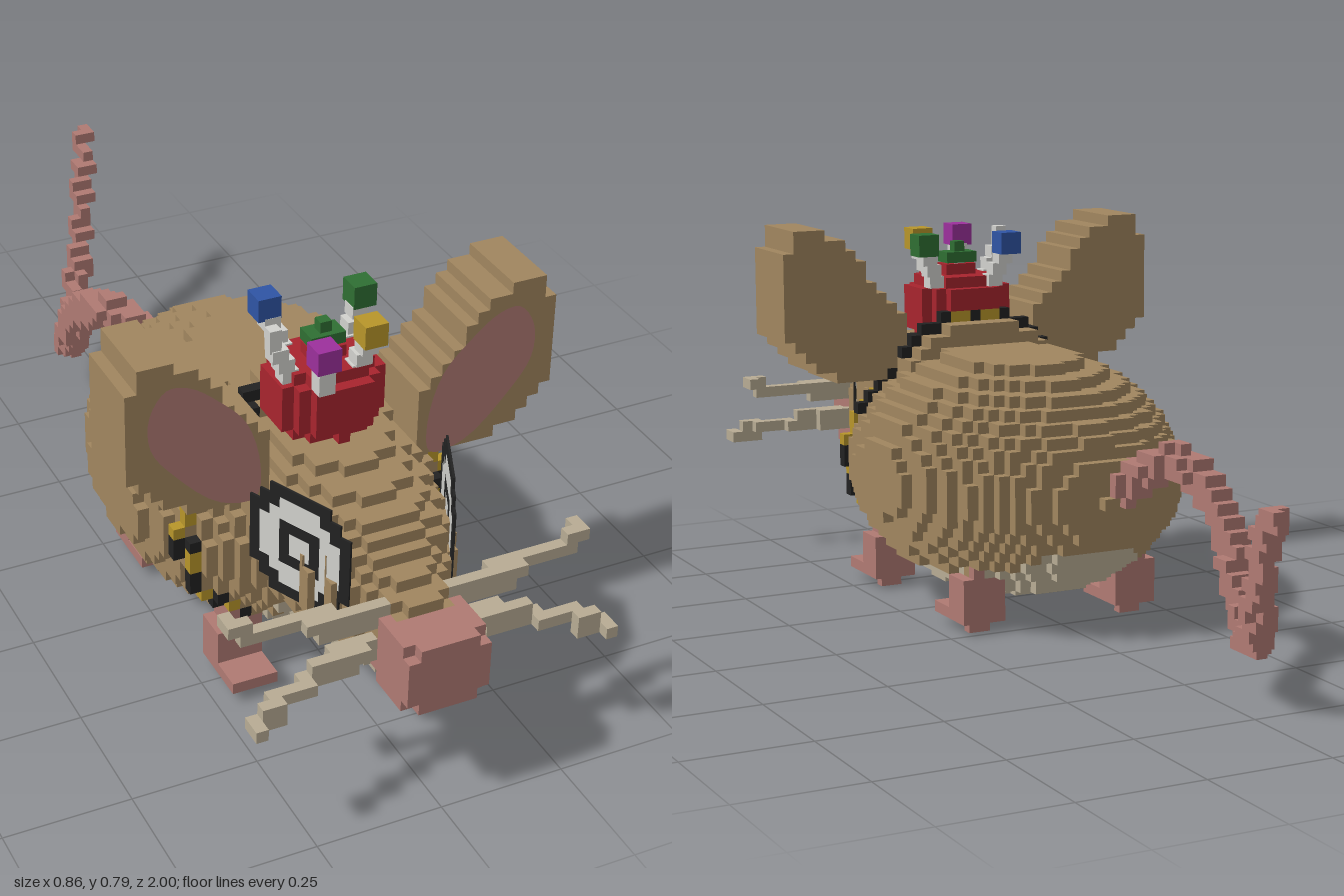
import * as THREE from 'three';

const V = 2 / 86; // cell size

const paint = (name, color) => {
  const m = new THREE.MeshStandardMaterial({ color });
  m.name = name;
  return m;
};
const fur = paint('brown fur', 0xa1865f);
const cream = paint('cream belly', 0xb8ac94);
const pink = paint('pink skin', 0xb07a73);
const red = paint('crown red', 0xa8242e);
const black = paint('black', 0x222222);
const white = paint('white', 0xd2d2ce);
const gold = paint('yellow', 0xb8962a);
const green = paint('green', 0x2f6f33);
const blue = paint('blue', 0x2f55a5);
const violet = paint('violet', 0x9c309c);

// Builds the outer faces of all cells for which paintAt(x, y, z) gives a material.
function cells(name, paintAt, shiftX = 0) {
  const grid = new Map();
  const key = (c) => c.join();
  for (let i = -22; i <= 22; i++) for (let j = -6; j <= 35; j++) for (let k = -43; k <= 42; k++) {
    const m = paintAt((i + shiftX) * V, (j + 0.5) * V, (k + 0.5) * V);
    if (m) grid.set(key([i, j, k]), { c: [i, j, k], m });
  }
  const mats = [...new Set([...grid.values()].map((g) => g.m))];
  const pos = [], nor = [], index = [];
  const geo = new THREE.BufferGeometry();
  mats.forEach((mat, mi) => {
    const start = index.length;
    for (const { c, m } of grid.values()) {
      if (m !== mat) continue;
      for (let d = 0; d < 3; d++) for (const s of [-1, 1]) {
        const next = [...c];
        next[d] += s;
        if (grid.has(key(next))) continue;
        const n = [0, 0, 0], base = pos.length / 3;
        n[d] = s;
        for (const [a, b] of [[-1, -1], [1, -1], [1, 1], [-1, 1]]) {
          const p = [c[0] + shiftX, c[1] + 0.5, c[2] + 0.5];
          p[d] += s / 2;
          p[(d + 1) % 3] += a / 2;
          p[(d + 2) % 3] += b / 2;
          pos.push(p[0] * V, p[1] * V, p[2] * V);
          nor.push(...n);
        }
        const order = s > 0 ? [0, 1, 2, 0, 2, 3] : [0, 2, 1, 0, 3, 2];
        index.push(...order.map((o) => base + o));
      }
    }
    geo.addGroup(start, index.length - start, mi);
  });
  geo.setAttribute('position', new THREE.Float32BufferAttribute(pos, 3));
  geo.setAttribute('normal', new THREE.Float32BufferAttribute(nor, 3));
  geo.setIndex(index);
  const mesh = new THREE.Mesh(geo, mats);
  mesh.name = name;
  return mesh;
}

const within = (v, a, b) => v > a && v < b;
const ball = (x, y, z, c, r) =>
  ((x - c[0]) / r[0]) ** 2 + ((y - c[1]) / r[1]) ** 2 + ((z - c[2]) / r[2]) ** 2 < 1;

// Head cross-sections: z, half width, top, bottom
const HEAD = [
  [0.36, 0.19, 0.585, 0.2], [0.42, 0.19, 0.575, 0.2], [0.48, 0.18, 0.55, 0.2], [0.6, 0.165, 0.54, 0.2],
  [0.75, 0.14, 0.49, 0.205], [0.82, 0.1, 0.43, 0.21], [0.9, 0.06, 0.385, 0.23],
];
function inHead(x, y, z) {
  const i = HEAD.findIndex((h) => h[0] > z);
  if (i < 1) return false;
  const a = HEAD[i - 1], b = HEAD[i], t = (z - a[0]) / (b[0] - a[0]);
  const [, w, top, low] = a.map((v, n) => v + (b[n] - v) * t);
  return (Math.abs(x) / w) ** 2.4 + Math.abs((y - (top + low) / 2) / ((top - low) / 2)) ** 2.4 < 1;
}
const inBody = (x, y, z) => ball(x, y, z, [0, 0.295, 0.22], [0.318, 0.25, 0.418]);
const solid = (x, y, z) => inBody(x, y, z) || inHead(x, y, z);

function inPolygon(x, y, pts) {
  let inside = false;
  pts.forEach(([ax, ay], i) => {
    const [bx, by] = pts[(i + 1) % pts.length];
    if (ay > y !== by > y && x < ax + ((y - ay) / (by - ay)) * (bx - ax)) inside = !inside;
  });
  return inside;
}
const EAR = [
  [0.14, 0.53], [0.15, 0.58], [0.2, 0.635], [0.25, 0.705], [0.3, 0.755], [0.36, 0.79], [0.39, 0.79],
  [0.43, 0.71], [0.43, 0.56], [0.39, 0.53], [0.33, 0.485], [0.24, 0.455], [0.16, 0.465],
];
const INNER_EAR = [
  [0.352, 0.74], [0.31, 0.735], [0.25, 0.69], [0.198, 0.632], [0.17, 0.533], [0.179, 0.468],
  [0.248, 0.476], [0.34, 0.56], [0.384, 0.625], [0.385, 0.694],
];

// Cells along a curve whose radius changes from r0 to r1
function strand(name, mat, points, r0, r1) {
  const curve = new THREE.CatmullRomCurve3(points.map((p) => new THREE.Vector3(...p)));
  const samples = curve.getSpacedPoints(80);
  const p = new THREE.Vector3();
  return cells(name, (x, y, z) => {
    p.set(x, y, z);
    return samples.some((q, i) => q.distanceTo(p) < r0 + ((r1 - r0) * i) / 80) ? mat : null;
  });
}

export function createModel() {
  const model = new THREE.Group();
  model.name = 'mouse';
  const box = (parent, name, mat, size, at) => {
    const m = new THREE.Mesh(new THREE.BoxGeometry(...size), mat);
    m.name = name;
    m.position.set(...at);
    parent.add(m);
  };

  // Body and head with a pale underside
  model.add(cells('bodyAndHead', (x, y, z) => {
    if (!solid(x, y, z)) return null;
    const belly = y < 0.27 && (x / 0.21) ** 2 + ((z - 0.22) / 0.37) ** 2 < 1;
    const chin = z > 0.55 && y < 0.25 && (Math.abs(x) < 0.1 || y < 0.22);
    return belly || chin ? cream : fur;
  }));

  // Checked collar around the neck
  model.add(cells('collar', (x, y, z) => {
    const mid = 0.41 + (0.58 - y) * 0.2;
    if (y < 0.14 || Math.abs(z - mid) > V * 0.75 || solid(x, y, z)) return null;
    const touching = [[V, 0], [-V, 0], [0, V], [0, -V]].some(([a, b]) => solid(x + a, y + b, z));
    if (!touching) return null;
    return Math.floor((y + Math.abs(x)) / (2 * V)) % 2 ? gold : black;
  }));

  // Nose
  model.add(cells('nose', (x, y, z) =>
    within(z, 0.86, 1) && (Math.abs(x) / 0.084) ** 4 + Math.abs((y - 0.303) / 0.076) ** 4
      + Math.abs((z - 0.93) / 0.085) ** 4 < 1 ? pink : null));

  // Ears with smooth inner faces
  model.add(cells('ears', (x, y, z) =>
    within(z, 0.418, 0.582) && inPolygon(Math.abs(x), y, EAR) ? fur : null));
  for (const s of [-1, 1]) {
    const curve = new THREE.CatmullRomCurve3(INNER_EAR.map(([x, y]) => new THREE.Vector3(s * x, y, 0)), true);
    const shape = new THREE.Shape(curve.getPoints(40).map((p) => new THREE.Vector2(p.x, p.y)));
    const inner = new THREE.Mesh(new THREE.ShapeGeometry(shape), pink);
    inner.name = s > 0 ? 'leftInnerEar' : 'rightInnerEar';
    inner.position.z = 25 * V + 0.003;
    model.add(inner);
  }

  // Thin round eyes
  for (const s of [-1, 1]) {
    const eye = cells(s > 0 ? 'leftEye' : 'rightEye', (x, y, z) => {
      const r = Math.hypot(x, y) / V;
      if (!within(z, 0, V) || r > 5.2) return null;
      if (r > 3.9) return black;
      return r > 2.2 || r < 0.8 ? white : black;
    }, 0.5);
    eye.scale.z = 0.2;
    eye.position.set(s * 0.148, 0.425, 0.707);
    eye.rotation.y = s * 1.155;
    model.add(eye);
  }

  // Whiskers
  for (const s of [-1, 1]) {
    model.add(strand('upperWhisker', cream,
      [[s * 0.06, 0.37, 0.87], [s * 0.2, 0.375, 0.86], [s * 0.28, 0.385, 0.845], [s * 0.35, 0.405, 0.84]], 0.02, 0.016));
    model.add(strand('lowerWhisker', cream,
      [[s * 0.06, 0.31, 0.87], [s * 0.18, 0.3, 0.89], [s * 0.27, 0.29, 0.92], [s * 0.35, 0.27, 0.955]], 0.02, 0.016));
  }

  // Legs with forward paws and a small claw below
  for (const [name, z0] of [['frontLegs', 0.45], ['backLegs', 0.01]]) {
    model.add(cells(name, (x, y, z) => {
      const a = Math.abs(x), d = z - z0;
      const leg = within(y, V, 0.19) && within(a, 0.128, y < 0.12 ? 0.215 : 0.2) && within(d, 0, 0.07);
      const paw = within(y, V, 2 * V) && within(a, 0.128, 0.222) && within(d, 0, 0.135);
      const claw = within(y, 0, V) && within(a, 0.15, 0.2) && within(d, 0.01, 0.045);
      return leg || paw || claw ? pink : null;
    }));
  }

  // Tail
  model.add(strand('tail', pink, [
    [-0.03, 0.29, -0.15], [-0.07, 0.355, -0.22], [-0.115, 0.375, -0.29], [-0.13, 0.32, -0.4],
    [-0.11, 0.18, -0.52], [-0.07, 0.115, -0.62], [-0.03, 0.14, -0.7], [0.03, 0.27, -0.81],
    [0.08, 0.39, -0.91], [0.115, 0.43, -0.985],
  ], 0.038, 0.017));

  // Crown cushion
  const crown = new THREE.Group();
  crown.name = 'crown';
  model.add(crown);
  crown.add(cells('cushion', (x, y, z) => {
    const r = Math.hypot(x / 0.108, (z - 0.49) / 0.1);
    const limit = y < 0.56 ? 0.8 : y < 0.65 ? 1 : y < 0.675 ? 0.75 : 0.3;
    return within(y, 0.53, 0.695) && r < limit ? red : null;
  }));
  // Crown points leaning outward, each with a coloured tip
  const tips = [
    [-0.058, 0.605, violet], [0.058, 0.56, gold], [0.105, 0.425, green], [-0.075, 0.395, blue], [-0.115, 0.515, white],
  ];
  for (const [x, z, mat] of tips) {
    for (const [f, y] of [[0.72, 0.665], [0.8, 0.69], [0.92, 0.715]]) {
      box(crown, 'crownPoint', white, [1.4 * V, V * 1.1, 1.4 * V], [x * f, y, 0.49 + (z - 0.49) * f]);
    }
    const w = mat === white ? V : 2 * V;
    box(crown, 'crownTip', mat, [w, 2 * V, w], [x, 0.747, z]);
  }
  box(crown, 'middlePost', white, [V, 0.05, V], [0, 0.69, 0.485]);
  box(crown, 'middleGem', green, [3 * V, V, 2 * V], [0, 0.712, 0.485]);
  box(crown, 'middleGemTop', green, [V, V, V], [0, 0.734, 0.485]);

  return model;
}
